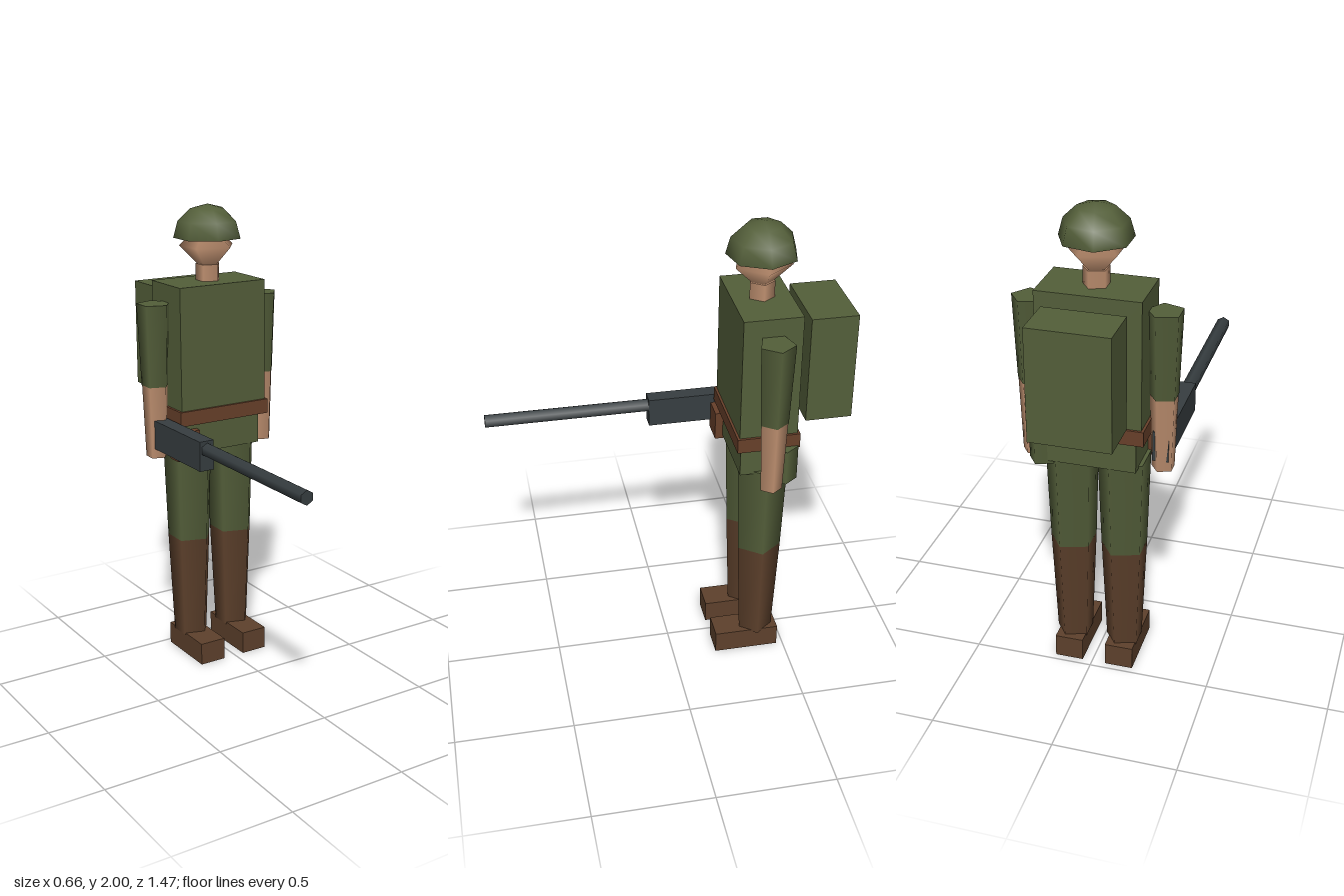
import * as THREE from 'three';

const CX = -0.0075; // body centre line
const CZ = -0.377;

export function createModel() {
  const model = new THREE.Group();
  model.name = 'soldier';

  const mat = (name, color) => {
    const m = new THREE.MeshStandardMaterial({ color });
    m.name = name;
    return m;
  };
  const green = mat('uniform green', 0x545f3a);
  const skin = mat('skin', 0xbf9070);
  const boot = mat('boot brown', 0x5e412c);
  const leather = mat('belt leather', 0x68402a);
  const steel = mat('gun steel', 0x373e41);

  const add = (name, geometry, material, x, y, z, parent = model) => {
    const mesh = new THREE.Mesh(geometry, material);
    mesh.name = name;
    mesh.position.set(x, y, z);
    parent.add(mesh);
    return mesh;
  };
  // box given by its limits on each axis
  const box = (name, material, [x0, x1], [y0, y1], [z0, z1], parent) =>
    add(name, new THREE.BoxGeometry(x1 - x0, y1 - y0, z1 - z0), material,
      (x0 + x1) / 2, (y0 + y1) / 2, (z0 + z1) / 2, parent);
  // upright five-sided tapered limb with one corner toward +x
  const limb = (name, material, rTop, rBottom, y0, y1, x, z = CZ, parent = model) =>
    add(name, new THREE.CylinderGeometry(rTop, rBottom, y1 - y0, 5).rotateY(Math.PI / 2),
      material, x, (y0 + y1) / 2, z, parent);

  // trunk
  box('torso', green, [CX - 0.2075, CX + 0.2075], [1.12, 1.68], [CZ - 0.12, CZ + 0.12]);
  box('hips', green, [CX - 0.183, CX + 0.183], [0.96, 1.12], [CZ - 0.108, CZ + 0.108]);
  box('belt', leather, [CX - 0.218, CX + 0.218], [1.092, 1.155], [CZ - 0.13, CZ + 0.13]);
  box('backpack', green, [CX - 0.163, CX + 0.163], [1.18, 1.64], [-0.735, -0.542]);
  box('beltPouch', leather, [-0.248, -0.14], [0.945, 1.07], [-0.305, -0.236]);
  limb('canteen', green, 0.06, 0.06, 0.945, 1.1, 0.195, -0.443);

  // head
  limb('neck', skin, 0.054, 0.054, 1.67, 1.75, CX);
  add('head', new THREE.SphereGeometry(0.122, 5, 2).rotateY(Math.PI), skin, CX, 1.825, CZ);

  // helmet: a coarse dome with a flat underside
  const helmet = new THREE.Group();
  helmet.name = 'helmet';
  helmet.position.set(CX, 1.86, CZ);
  model.add(helmet);
  const dome = new THREE.SphereGeometry(0.146, 7, 3, 0, Math.PI * 2, 0, Math.PI / 2)
    .scale(1, 0.14 / 0.146, 1).rotateY(Math.PI);
  add('helmetDome', dome, green, 0, 0, 0, helmet);
  add('helmetUnderside', new THREE.CircleGeometry(0.146, 7).rotateX(Math.PI / 2), green, 0, 0, 0, helmet);

  // arms and legs
  for (const [side, s] of [['left', 1], ['right', -1]]) {
    const arm = new THREE.Group();
    arm.name = side + 'Arm';
    const ax = CX + s * 0.265;
    limb('sleeve', green, 0.074, 0.06, 1.255, 1.605, ax, CZ, arm);
    limb('forearm', skin, 0.058, 0.047, 0.942, 1.255, ax, CZ, arm);

    const leg = new THREE.Group();
    leg.name = side + 'Leg';
    const lx = CX + s * 0.108;
    limb('trouserLeg', green, 0.112, 0.098, 0.55, 0.97, lx, CZ, leg);
    limb('bootShaft', boot, 0.098, 0.077, 0.09, 0.55, lx, CZ, leg);
    box('foot', boot, [lx - 0.059, lx + 0.059], [0, 0.098], [-0.472, -0.19], leg);
    model.add(arm, leg);
  }

  // rifle held in the right hand
  const rifle = new THREE.Group();
  rifle.name = 'rifle';
  model.add(rifle);
  box('receiver', steel, [-0.301, -0.236], [0.985, 1.11], [-0.412, 0.035], rifle);
  add('barrel', new THREE.CylinderGeometry(0.03, 0.03, 0.72, 6).rotateX(Math.PI / 2),
    steel, -0.266, 1.072, 0.375, rifle);

  return model;
}
